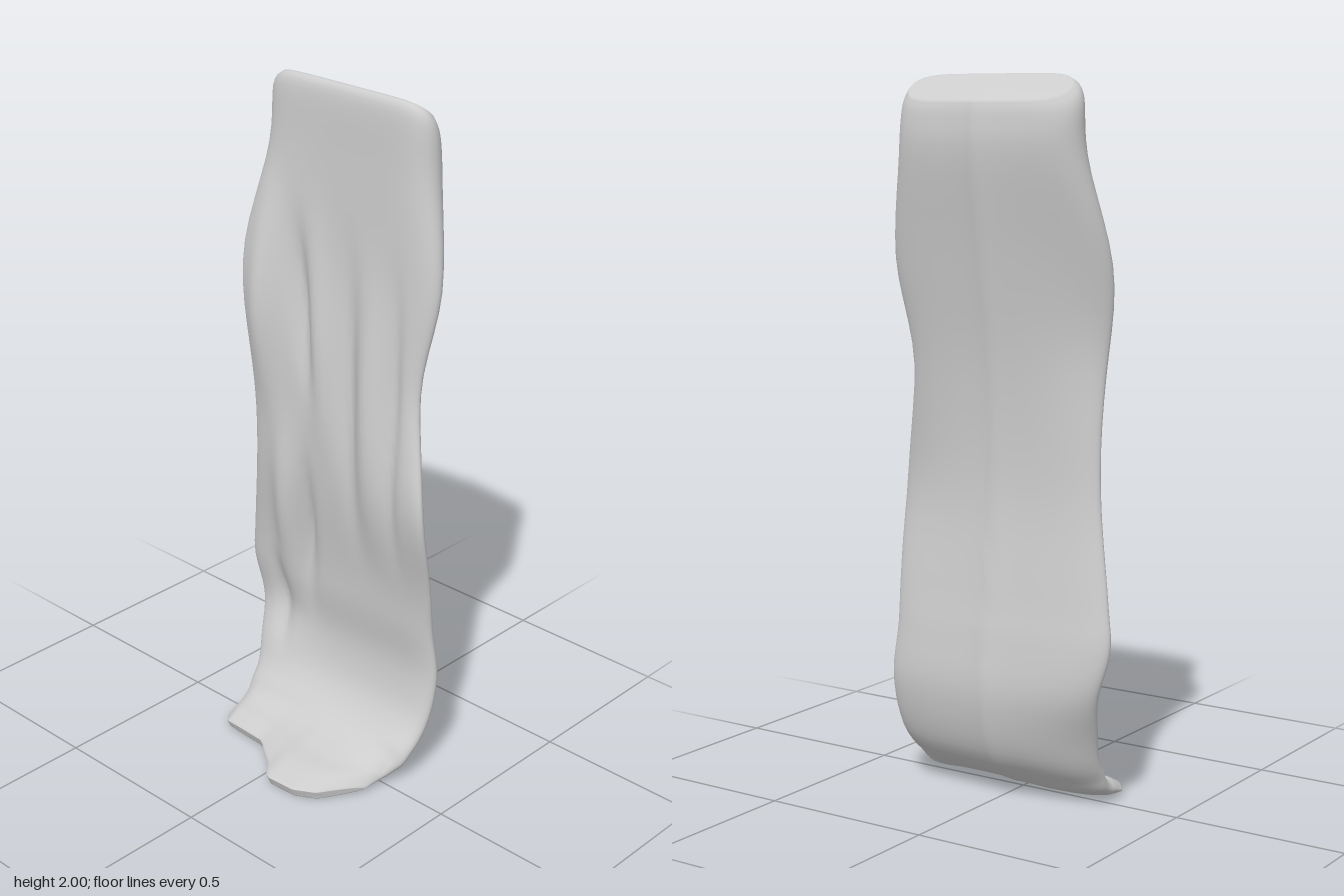
import * as THREE from 'three';
import { mergeVertices } from 'three/addons/utils/BufferGeometryUtils.js';

// stations down the cloth: front y, z | back y, z | left x, right x
const stations = [
  [1.997, -0.125, 1.925, -0.205, -0.26, 0.26],
  [1.96, -0.105, 1.88, -0.215, -0.285, 0.282],
  [1.79, -0.10, 1.77, -0.215, -0.29, 0.295],
  [1.5, -0.09, 1.5, -0.17, -0.33, 0.335],
  [1.2, -0.07, 1.2, -0.13, -0.303, 0.30],
  [0.88, -0.06, 0.88, -0.12, -0.305, 0.36],
  [0.6, -0.09, 0.6, -0.15, -0.35, 0.342],
  [0.47, -0.10, 0.46, -0.17, -0.365, 0.335],
  [0.33, -0.115, 0.3, -0.18, -0.325, 0.345],
  [0.2, -0.09, 0.14, -0.14, -0.295, 0.338],
  [0.11, -0.02, 0.05, -0.06, -0.29, 0.325],
  [0.07, 0.06, 0.015, 0.02, -0.288, 0.30],
  [0.055, 0.13, 0.002, 0.11, -0.285, 0.285],
  [0.03, 0.2, 0.003, 0.19, -0.28, 0.275],
];

// front folds: x at top, x at bottom, top y, bottom y, width, height
const folds = [
  [-0.25, -0.24, 1.75, 0.95, 0.05, 0.035],
  [-0.16, -0.07, 1.65, 1.05, 0.03, -0.03],
  [-0.09, -0.01, 1.7, 0.85, 0.045, 0.02],
  [0.04, 0.1, 1.65, 0.6, 0.03, -0.02],
  [0.12, 0.17, 1.6, 0.6, 0.045, 0.022],
  [0.21, 0.25, 1.6, 0.6, 0.025, -0.02],
  [-0.17, -0.19, 1.05, 0.35, 0.045, 0.03],
  [-0.085, -0.125, 0.95, 0.35, 0.025, -0.03],
  [-0.24, -0.22, 0.55, 0.2, 0.025, -0.025],
];

// how far the front hem reaches beyond its mean: x, reach
const hem = [[-0.29, -0.13], [-0.25, -0.09], [-0.1, -0.08], [0, -0.01],
  [0.04, 0.04], [0.14, 0.035], [0.2, 0], [0.285, -0.14]];

const bump = (v, centre, width) => Math.exp(-(((v - centre) / width) ** 2));

function hemAt(x) {
  const clamped = THREE.MathUtils.clamp(x, hem[0][0], hem[hem.length - 1][0]);
  const i = Math.max(1, hem.findIndex((p) => clamped <= p[0]));
  const [a, b] = [hem[i - 1], hem[i]];
  return THREE.MathUtils.mapLinear(clamped, a[0], b[0], a[1], b[1]);
}

// each fold fades in and out along its length
function foldAt(x, y) {
  let sum = 0;
  for (const [xa, xb, ya, yb, width, height] of folds) {
    const t = (ya - y) / (ya - yb);
    if (t <= 0 || t >= 1) continue;
    sum += height * Math.sin(Math.PI * t) ** 1.5 * bump(x, xa + (xb - xa) * t, width);
  }
  return sum;
}

// smooth blend between neighbouring stations
function stationAt(s) {
  const last = stations.length - 1;
  const i = Math.min(Math.floor(s), last - 1), t = s - i;
  const row = (k) => stations[Math.max(0, Math.min(last, k))];
  return row(i).map((b, k) => {
    const a = row(i - 1)[k], c = row(i + 1)[k], d = row(i + 2)[k];
    return b + 0.5 * t * (c - a + t * (2 * a - 5 * b + 4 * c - d + t * (3 * (b - c) + d - a)));
  });
}

const COLUMNS = 112, STEPS = 5;

// one closed cross-section; shrink draws it in towards its own middle line
function ring(s, shrink) {
  const [yF, zF, yB, zB, xL, xR] = stationAt(s);
  const yMid = (yF + yB) / 2, zMid = (zF + zB) / 2;
  const toe = THREE.MathUtils.clamp((zMid + 0.05) / 0.245, 0, 1);
  // side edges curl forward at different heights
  const curlL = 0.06 * bump(yMid, 1.4, 0.3) + 0.04 * bump(yMid, 0.2, 0.12);
  const curlR = 0.04 * bump(yMid, 0.87, 0.2);
  const points = [];
  for (let j = 0; j < COLUMNS; j++) {
    const angle = (j / COLUMNS) * Math.PI * 2;
    const c = Math.cos(angle);
    const u = Math.sign(c) * (1 - (1 - Math.abs(c)) ** 1.15);
    const front = Math.sin(angle) >= 0;
    const x = (xL + xR) / 2 + ((u * (xR - xL)) / 2) * (0.94 + 0.06 * shrink);
    const e = Math.sqrt(Math.max(0, 1 - Math.abs(u) ** 7)) * shrink * (front ? 1 : -1);
    const y = yMid + (e * (yF - yB)) / 2;
    let z = zMid + (e * (zF - zB)) / 2 + (u < 0 ? curlL : curlR) * u * u + toe * hemAt(x);
    if (front) z += foldAt(x, y) * e;
    else z += (1 - toe) * e * (0.015 * (1 - u * u) + 0.012 * Math.exp(-Math.abs(x) / 0.04));
    points.push(x, Math.max(0, y), z);
  }
  return points;
}

// rings skinned from the top edge to the hem, closed at both ends
function clothGeometry() {
  const last = stations.length - 1;
  const rings = [ring(0, 0), ring(0, 0.5), ring(0, 0.88)];
  for (let k = 0; k <= last * STEPS; k++) rings.push(ring(k / STEPS, 1));
  rings.push(ring(last, 0.8), ring(last, 0));
  const index = [];
  for (let i = 0; i < rings.length - 1; i++) {
    for (let j = 0; j < COLUMNS; j++) {
      const a = i * COLUMNS + j, b = i * COLUMNS + ((j + 1) % COLUMNS);
      const c = a + COLUMNS, d = b + COLUMNS;
      index.push(a, b, c, b, d, c);
    }
  }
  const geometry = new THREE.BufferGeometry();
  geometry.setAttribute('position', new THREE.Float32BufferAttribute(rings.flat(), 3));
  geometry.setIndex(index);
  const welded = mergeVertices(geometry, 1e-5);
  welded.computeVertexNormals();
  return welded;
}

export function createModel() {
  const group = new THREE.Group();
  group.name = 'drapedCloth';
  const fabric = new THREE.MeshStandardMaterial({ color: 0xcccccc });
  fabric.name = 'pale grey fabric';
  const cloth = new THREE.Mesh(clothGeometry(), fabric);
  cloth.name = 'hangingCloth';
  group.add(cloth);
  return group;
}
